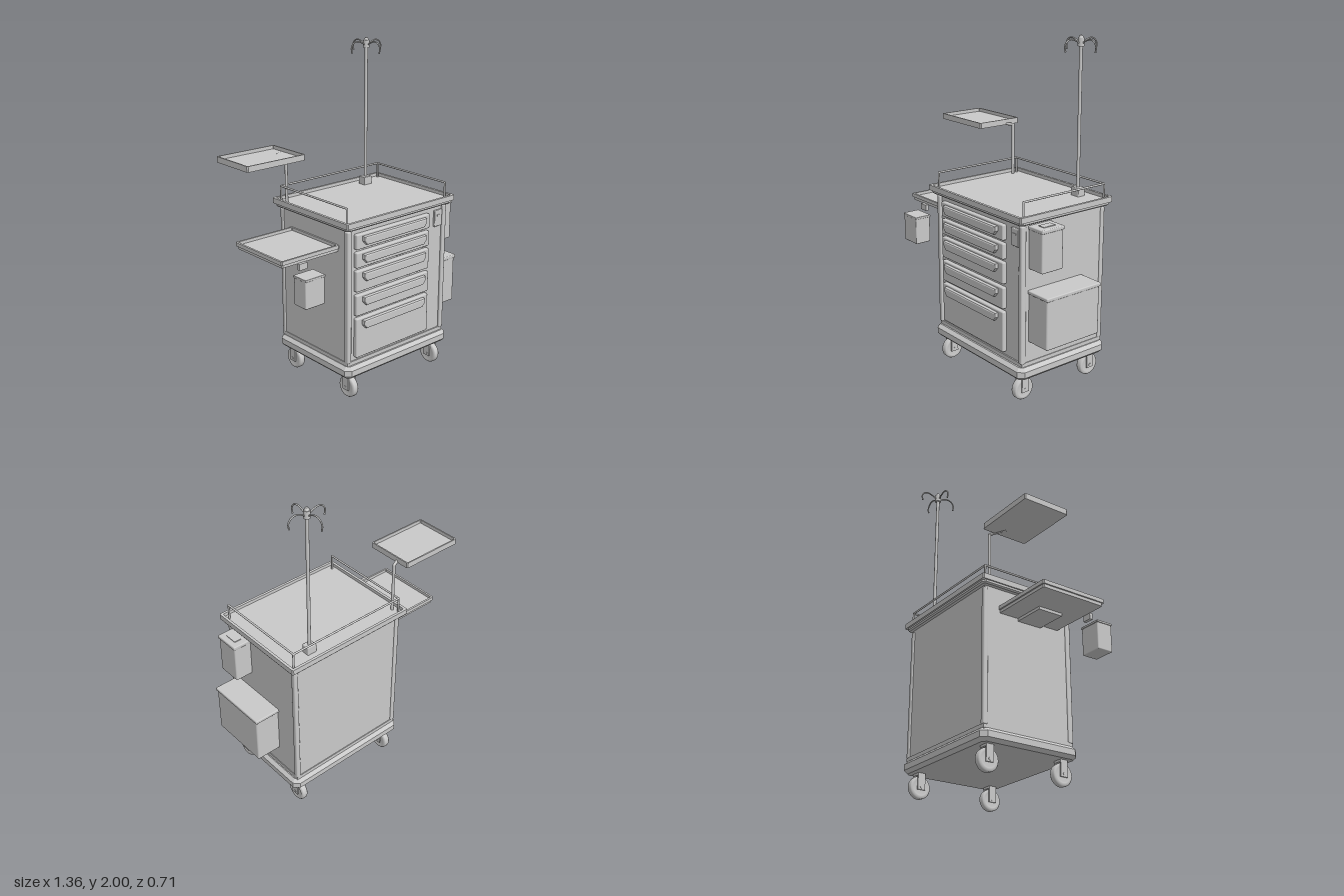
import * as THREE from 'three';
import { RoundedBoxGeometry } from 'three/addons/geometries/RoundedBoxGeometry.js';

export function createModel() {
  const cart = new THREE.Group();
  cart.name = 'medicalCart';
  const grey = new THREE.MeshStandardMaterial({ color: 0xc9c9c9 });
  grey.name = 'lightGrey';

  const add = (name, geometry, x = 0, y = 0, z = 0, parent = cart) => {
    const mesh = new THREE.Mesh(geometry, grey);
    mesh.name = name;
    mesh.position.set(x, y, z);
    parent.add(mesh);
    return mesh;
  };

  // Box given by its limits, with optionally rounded edges
  const block = (name, [x0, x1], [y0, y1], [z0, z1], r = 0, parent = cart) => {
    const s = [x1 - x0, y1 - y0, z1 - z0];
    const g = r ? new RoundedBoxGeometry(...s, 2, r) : new THREE.BoxGeometry(...s);
    return add(name, g, (x0 + x1) / 2, (y0 + y1) / 2, (z0 + z1) / 2, parent);
  };

  // Round bar between two points
  const rod = (name, a, b, r) => {
    const p = new THREE.Vector3(...a), q = new THREE.Vector3(...b);
    const d = q.clone().sub(p);
    const mesh = add(name, new THREE.CylinderGeometry(r, r, d.length(), 12));
    mesh.position.copy(p).add(q).multiplyScalar(0.5);
    mesh.quaternion.setFromUnitVectors(new THREE.Vector3(0, 1, 0), d.normalize());
    return mesh;
  };

  // Horizontal rectangle with cut corners, counter-clockwise in x and -z
  const plan = (x0, x1, z0, z1, c, Type = THREE.Shape) => new Type([
    [x0, -z0 - c], [x0, -z1 + c], [x0 + c, -z1], [x1 - c, -z1],
    [x1, -z1 + c], [x1, -z0 - c], [x1 - c, -z0], [x0 + c, -z0],
  ].map(([x, y]) => new THREE.Vector2(x, y)));

  // Slab with chamfered upper and lower edges
  const slab = (name, [x0, x1], [y0, y1], [z0, z1], c, b) => {
    const g = new THREE.ExtrudeGeometry(plan(x0 + b, x1 - b, z0 + b, z1 - b, c), {
      depth: y1 - y0 - 2 * b, bevelEnabled: b > 0, bevelSize: b, bevelThickness: b, bevelSegments: 1,
    });
    g.rotateX(-Math.PI / 2);
    return add(name, g, 0, y0 + b, 0);
  };

  // Raised frame around a flat surface
  const rim = (name, [x0, x1], [y0, y1], [z0, z1], t) => {
    const s = plan(x0, x1, z0, z1, 0.006);
    s.holes.push(plan(x0 + t, x1 - t, z0 + t, z1 - t, 0.003, THREE.Path));
    const g = new THREE.ExtrudeGeometry(s, { depth: y1 - y0, bevelEnabled: false });
    g.rotateX(-Math.PI / 2);
    return add(name, g, 0, y0, 0);
  };

  // Base bumper and cabinet
  slab('baseBumper', [-0.285, 0.55], [0.147, 0.222], [-0.312, 0.338], 0.02, 0.02);
  block('cabinetBody', [-0.258, 0.52], [0.215, 1.06], [-0.288, 0.3]);
  for (const x of [-0.265, 0.497]) {
    block('frontCornerPost', [x, x + 0.03], [0.24, 1.045], [0.28, 0.315], 0.008);
    block('backCornerPost', [x, x + 0.03], [0.24, 1.045], [-0.296, -0.266], 0.008);
  }
  block('plinth', [-0.262, 0.524], [0.222, 0.245], [-0.293, 0.308]);

  // Drawers with sloping pull handles
  const pull = new THREE.ExtrudeGeometry(new THREE.Shape([
    new THREE.Vector2(-0.225, -0.037), new THREE.Vector2(0.225, -0.037),
    new THREE.Vector2(0.241, -0.018), new THREE.Vector2(0.241, 0),
    new THREE.Vector2(-0.241, 0), new THREE.Vector2(-0.241, -0.018),
  ]), { depth: 0.01, bevelSize: 0.008, bevelThickness: 0.012, bevelSegments: 2 });
  for (const [y0, y1] of [[0.93, 1.02], [0.82, 0.913], [0.675, 0.803], [0.527, 0.655], [0.265, 0.51]]) {
    block('drawer', [-0.207, 0.376], [y0, y1], [0.29, 0.325], 0.008);
    add('drawerHandle', pull, 0.084, y1 - 0.022, 0.325);
  }

  // Lock plate
  block('lockPlate', [0.43, 0.494], [0.92, 1.022], [0.295, 0.312], 0.005);
  block('lockSlot', [0.449, 0.475], [0.985, 0.995], [0.31, 0.316]);

  // Worktop with raised edge
  slab('worktopUnderside', [-0.289, 0.55], [1.055, 1.085], [-0.316, 0.34], 0.012, 0.008);
  slab('worktop', [-0.298, 0.558], [1.075, 1.087], [-0.326, 0.349], 0.006, 0);
  rim('worktopRim', [-0.298, 0.558], [1.087, 1.107], [-0.326, 0.349], 0.016);

  // Guard rail on the sides and back
  const rail = [[-0.26, 0.3], [-0.26, -0.288], [0.522, -0.288], [0.522, 0.3]];
  rail.forEach(([x, z], i) => {
    rod('railPost', [x, 1.08, z], [x, 1.18, z], 0.006);
    add('railCorner', new THREE.SphereGeometry(0.006, 10, 8), x, 1.18, z);
    if (i) rod('railBar', [rail[i - 1][0], 1.18, rail[i - 1][1]], [x, 1.18, z], 0.006);
  });

  // Drip pole with four hooks
  const px = 0.366, pz = -0.233;
  block('poleSocket', [px - 0.031, px + 0.031], [1.08, 1.137], [pz - 0.026, pz + 0.026], 0.005);
  rod('dripPole', [px, 1.1, pz], [px, 1.96, pz], 0.01);
  add('poleHub', new THREE.CylinderGeometry(0.019, 0.019, 0.045, 12), px, 1.962, pz);
  add('poleCap', new THREE.CylinderGeometry(0.008, 0.016, 0.017, 12), px, 1.9915, pz);
  const hookPath = new THREE.CatmullRomCurve3([
    [0.01, 1.955], [0.04, 1.972], [0.075, 1.981], [0.105, 1.97], [0.119, 1.945], [0.115, 1.918],
  ].map(([x, y]) => new THREE.Vector3(x, y, 0)));
  const hook = new THREE.TubeGeometry(hookPath, 20, 0.0045, 8);
  for (let i = 0; i < 4; i++) {
    const a = i * Math.PI / 2;
    add('dripHook', hook, px, 0, pz).rotation.y = a;
    add('hookTip', new THREE.SphereGeometry(0.0055, 8, 6),
      px + 0.115 * Math.cos(a), 1.918, pz - 0.115 * Math.sin(a));
  }

  // Raised tray on a swing arm
  rod('trayPole', [-0.248, 1.08, -0.25], [-0.248, 1.397, -0.25], 0.009);
  add('armElbow', new THREE.SphereGeometry(0.009, 12, 8), -0.248, 1.397, -0.25);
  rod('trayArm', [-0.248, 1.397, -0.25], [-0.35, 1.399, -0.202], 0.009);
  slab('upperTray', [-0.682, -0.283], [1.393, 1.406], [-0.32, -0.026], 0.006, 0);
  rim('upperTrayRim', [-0.682, -0.283], [1.406, 1.427], [-0.32, -0.026], 0.008);

  // Side shelf with its bracket
  slab('sideShelf', [-0.655, -0.255], [0.91, 0.932], [-0.185, 0.224], 0.006, 0);
  rim('sideShelfRim', [-0.664, -0.255], [0.928, 0.95], [-0.193, 0.232], 0.012);
  block('shelfBracket', [-0.455, -0.255], [0.893, 0.912], [-0.06, 0.1]);

  // Small bin hanging at the shelf's front
  block('binClip', [-0.55, -0.495], [0.875, 0.912], [0.222, 0.243]);
  block('hangingBin', [-0.59, -0.456], [0.687, 0.852], [0.24, 0.342], 0.006);
  block('hangingBinLid', [-0.593, -0.453], [0.846, 0.86], [0.237, 0.345], 0.004);

  // Bins on the other side
  block('sharpsBin', [0.515, 0.63], [0.794, 1.03], [0.11, 0.259], 0.008);
  block('sharpsBinLid', [0.515, 0.636], [1.02, 1.042], [0.106, 0.264], 0.006);
  block('sharpsBinSlot', [0.557, 0.602], [1.04, 1.046], [0.145, 0.225]);
  block('wasteBin', [0.515, 0.676], [0.363, 0.66], [-0.125, 0.259], 0.01);
  block('wasteBinLid', [0.515, 0.682], [0.65, 0.672], [-0.132, 0.265], 0.006);

  // Casters
  const wheel = new THREE.LatheGeometry([
    [0, -0.016], [0.04, -0.016], [0.046, -0.02], [0.06, -0.02], [0.066, -0.012],
    [0.066, 0.012], [0.06, 0.02], [0.046, 0.02], [0.04, 0.016], [0, 0.016],
  ].map(([r, y]) => new THREE.Vector2(r, y)), 28);
  wheel.rotateZ(Math.PI / 2);
  for (const x of [-0.21, 0.472]) for (const z of [0.262, -0.235]) {
    const caster = new THREE.Group();
    caster.name = 'caster';
    caster.position.set(x, 0, z);
    cart.add(caster);
    add('wheel', wheel, 0, 0.066, 0, caster);
    for (const s of [-1, 1]) {
      block('forkArm', [s * 0.026 - 0.004, s * 0.026 + 0.004], [0.05, 0.143], [-0.024, 0.024], 0, caster);
    }
    block('forkCrown', [-0.03, 0.03], [0.134, 0.15], [-0.024, 0.024], 0, caster);
    const axle = add('axle', new THREE.CylinderGeometry(0.009, 0.009, 0.064, 12), 0, 0.066, 0, caster);
    axle.rotation.z = Math.PI / 2;
  }

  return cart;
}
